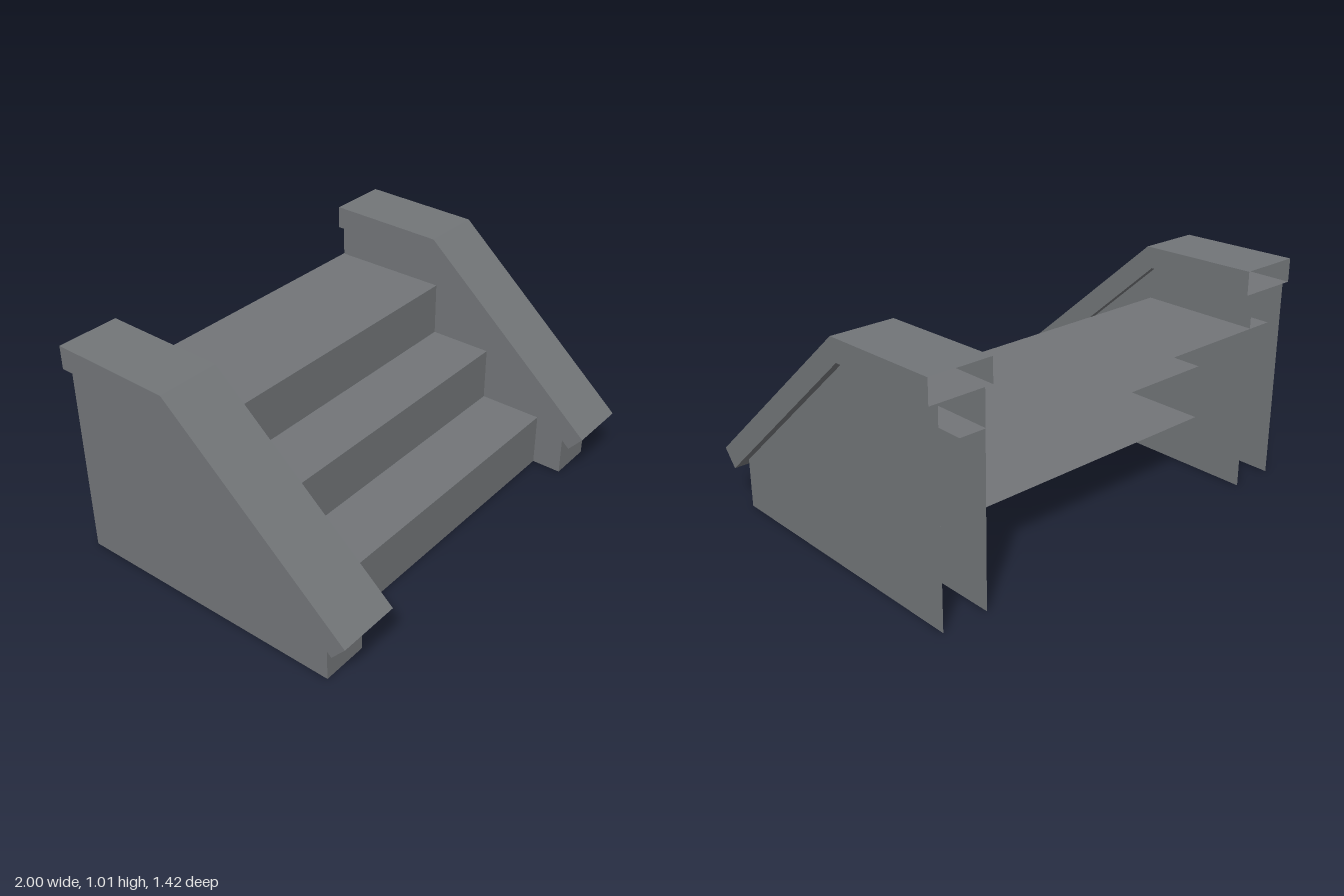
import * as THREE from 'three';

// Side profiles as [z, y]
const WALL = [[0.59, 0], [0.59, 0.225], [-0.18, 0.905], [-0.71, 0.905], [-0.71, 0]];
const CAP = [[-0.71, 0.905], [-0.18, 0.905], [0.645, 0.175], [0.71, 0.25], [-0.15, 1.0], [-0.71, 1.01]];

const stone = new THREE.MeshStandardMaterial({ color: 0x727578, side: THREE.DoubleSide });
stone.name = 'stone grey';

function add(parent, name, geometry) {
  const mesh = new THREE.Mesh(geometry, stone);
  mesh.name = name;
  parent.add(mesh);
}

// Folded sheet: an open [z, y] path swept from x0 to x1, one flat quad per segment
function sheet(path, x0, x1) {
  const pos = [];
  for (let i = 0; i < path.length - 1; i++) {
    const [za, ya] = path[i];
    const [zb, yb] = path[i + 1];
    pos.push(x0, ya, za, x1, ya, za, x1, yb, zb);
    pos.push(x0, ya, za, x1, yb, zb, x0, yb, zb);
  }
  const g = new THREE.BufferGeometry();
  g.setAttribute('position', new THREE.Float32BufferAttribute(pos, 3));
  g.computeVertexNormals();
  return g;
}

// Flat upright panel with a [z, y] outline; dir is the way it faces along x
function panel(outline, x, dir) {
  const g = new THREE.ShapeGeometry(new THREE.Shape(outline.map(([z, y]) => new THREE.Vector2(dir * -z, y))));
  return g.rotateY(dir * Math.PI / 2).translate(x, 0, 0);
}

export function createModel() {
  const model = new THREE.Group();
  model.name = 'steps';

  // Three steps, each a riser and a tread running into the hollow walls
  const backs = [-0.45, -0.45, -0.713];
  backs.forEach((back, i) => {
    const front = 0.45 - 0.3 * i;
    const top = 0.25 * (i + 1);
    add(model, 'riser' + (i + 1), sheet([[front, top - 0.25], [front, top]], -0.87, 0.87));
    add(model, 'tread' + (i + 1), sheet([[front, top], [back, top]], -0.87, 0.87));
  });

  // Side walls, open at the back and underneath, with sloping caps open at the back
  for (const s of [1, -1]) {
    const side = new THREE.Group();
    side.name = s > 0 ? 'leftWall' : 'rightWall';
    add(side, 'wallOuterFace', panel(WALL, s * 0.96, s));
    add(side, 'wallInnerFace', panel(WALL, s * 0.75, -s));
    const a = s > 0 ? 0.75 : -0.96;
    add(side, 'wallFront', sheet(WALL.slice(0, 2), a, a + 0.21));
    add(side, 'capOuterFace', panel(CAP, s, s));
    add(side, 'capInnerFace', panel(CAP, s * 0.713, -s));
    const c = s > 0 ? 0.713 : -1;
    add(side, 'capShell', sheet(CAP, c, c + 0.287));
    model.add(side);
  }
  return model;
}
